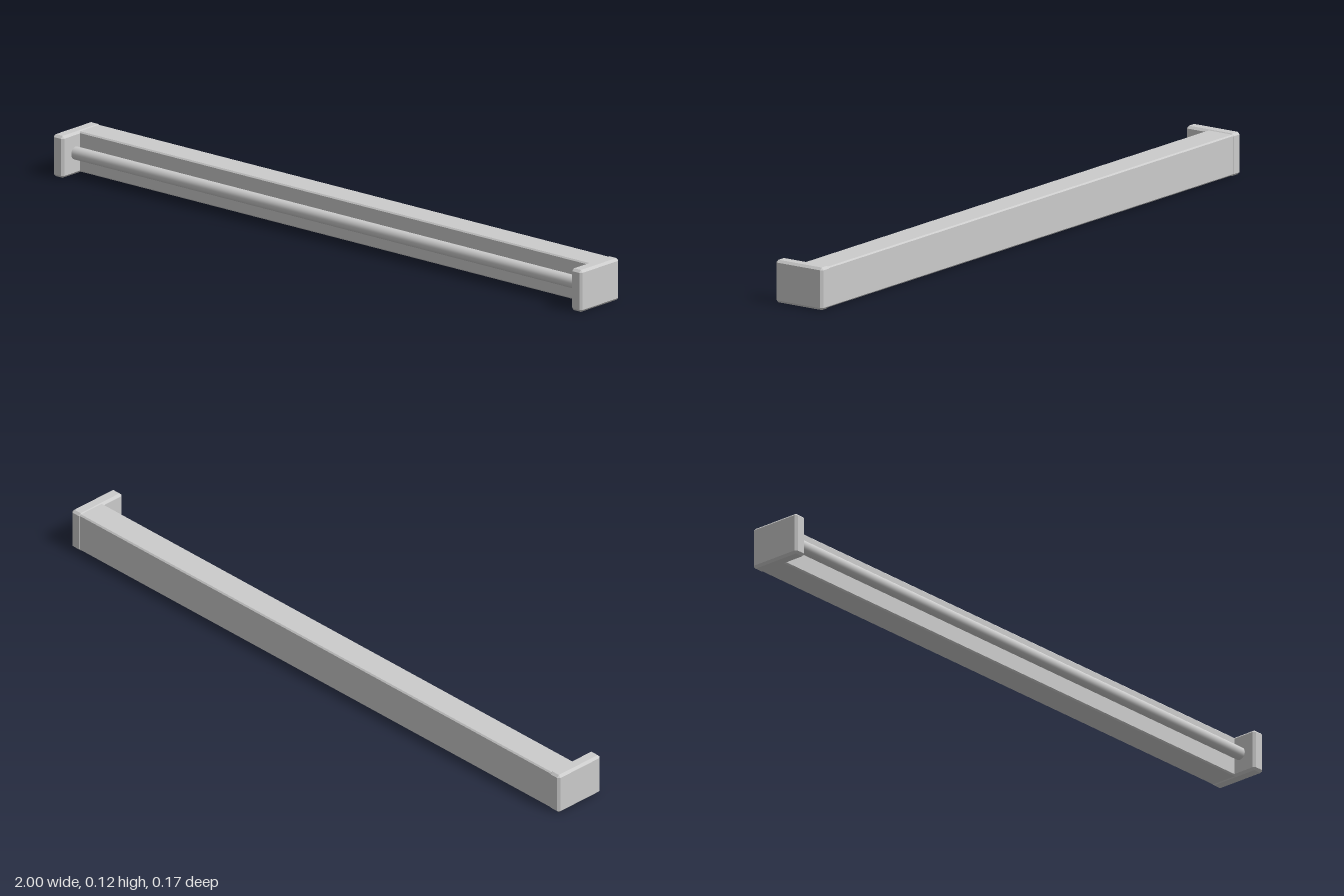
import * as THREE from 'three';
import { ConvexGeometry } from 'three/addons/geometries/ConvexGeometry.js';

const grey = new THREE.MeshStandardMaterial({ color: 0xcccccc });
const flatGrey = new THREE.MeshStandardMaterial({ color: 0xcccccc, flatShading: true });

// Box with every edge cut by a flat chamfer c
function chamferBox(w, h, d, c) {
  const points = [];
  for (const sx of [-1, 1]) for (const sy of [-1, 1]) for (const sz of [-1, 1]) {
    for (let axis = 0; axis < 3; axis++) {
      const inset = [c, c, c];
      inset[axis] = 0;
      points.push(new THREE.Vector3(
        sx * (w / 2 - inset[0]), sy * (h / 2 - inset[1]), sz * (d / 2 - inset[2])));
    }
  }
  return new ConvexGeometry(points);
}

function addPart(group, name, geometry, material, x, y, z) {
  const mesh = new THREE.Mesh(geometry, material);
  mesh.name = name;
  mesh.position.set(x, y, z);
  group.add(mesh);
  return mesh;
}

export function createModel() {
  const group = new THREE.Group();
  group.name = 'tubeLight';
  const midY = 0.0625;

  // Long housing behind the lamp
  addPart(group, 'housing', chamferBox(1.96, 0.12, 0.09, 0.004), flatGrey, 0, midY, -0.037);

  // Lamp tube running between the end caps
  const tube = new THREE.CylinderGeometry(0.019, 0.019, 1.94, 32);
  tube.rotateZ(Math.PI / 2);
  addPart(group, 'lampTube', tube, grey, 0, midY + 0.002, 0.028);

  // Chamfered end caps, projecting forward past the lamp
  const cap = chamferBox(0.04, 0.125, 0.168, 0.007);
  for (const [name, side] of [['leftEndCap', 1], ['rightEndCap', -1]]) {
    addPart(group, name, cap, flatGrey, side * 0.98, midY, 0);
  }
  return group;
}
